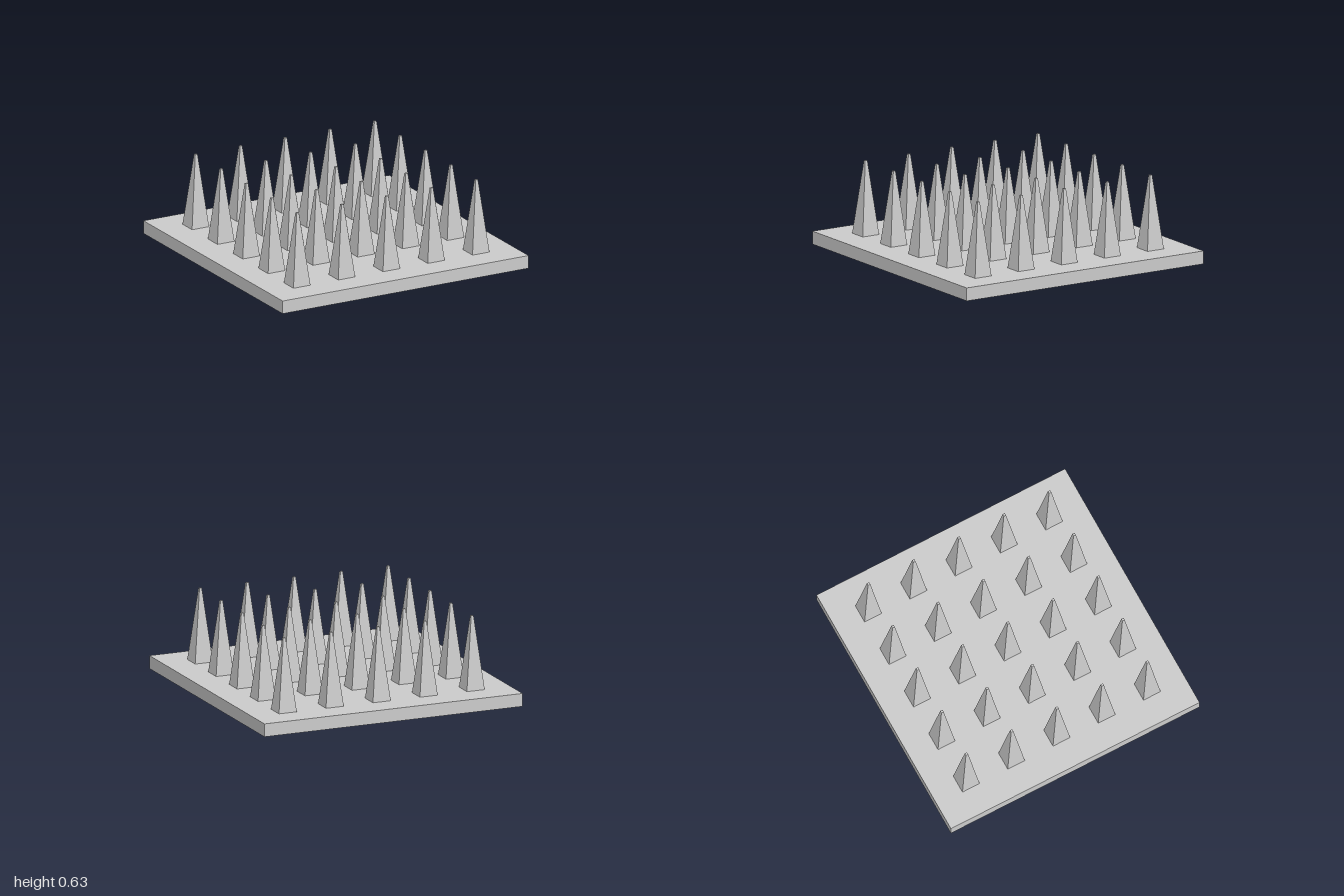
import * as THREE from 'three';

export function createModel() {
  const model = new THREE.Group();
  model.name = 'spikeTrap';
  const material = new THREE.MeshStandardMaterial({ color: 0xcccccc, flatShading: true });

  // Square base plate
  const plateHeight = 0.095;
  const plate = new THREE.Mesh(new THREE.BoxGeometry(2, plateHeight, 2), material);
  plate.name = 'basePlate';
  plate.position.y = plateHeight / 2;
  model.add(plate);

  // Four-sided spike with a small blunt tip, sides aligned to the plate
  const spikeHeight = 0.535;
  const spikeGeometry = new THREE.CylinderGeometry(0.009 * Math.SQRT2, 0.069 * Math.SQRT2, spikeHeight, 4);
  spikeGeometry.rotateY(Math.PI / 4);
  spikeGeometry.translate(0, plateHeight + spikeHeight / 2, 0);

  // Five by five grid of spikes
  const spikes = new THREE.Group();
  spikes.name = 'spikes';
  const spacing = 0.364;
  for (let row = -2; row <= 2; row++) {
    for (let column = -2; column <= 2; column++) {
      const spike = new THREE.Mesh(spikeGeometry, material);
      spike.name = 'spike';
      spike.position.set(column * spacing, 0, row * spacing);
      spikes.add(spike);
    }
  }
  model.add(spikes);

  return model;
}
